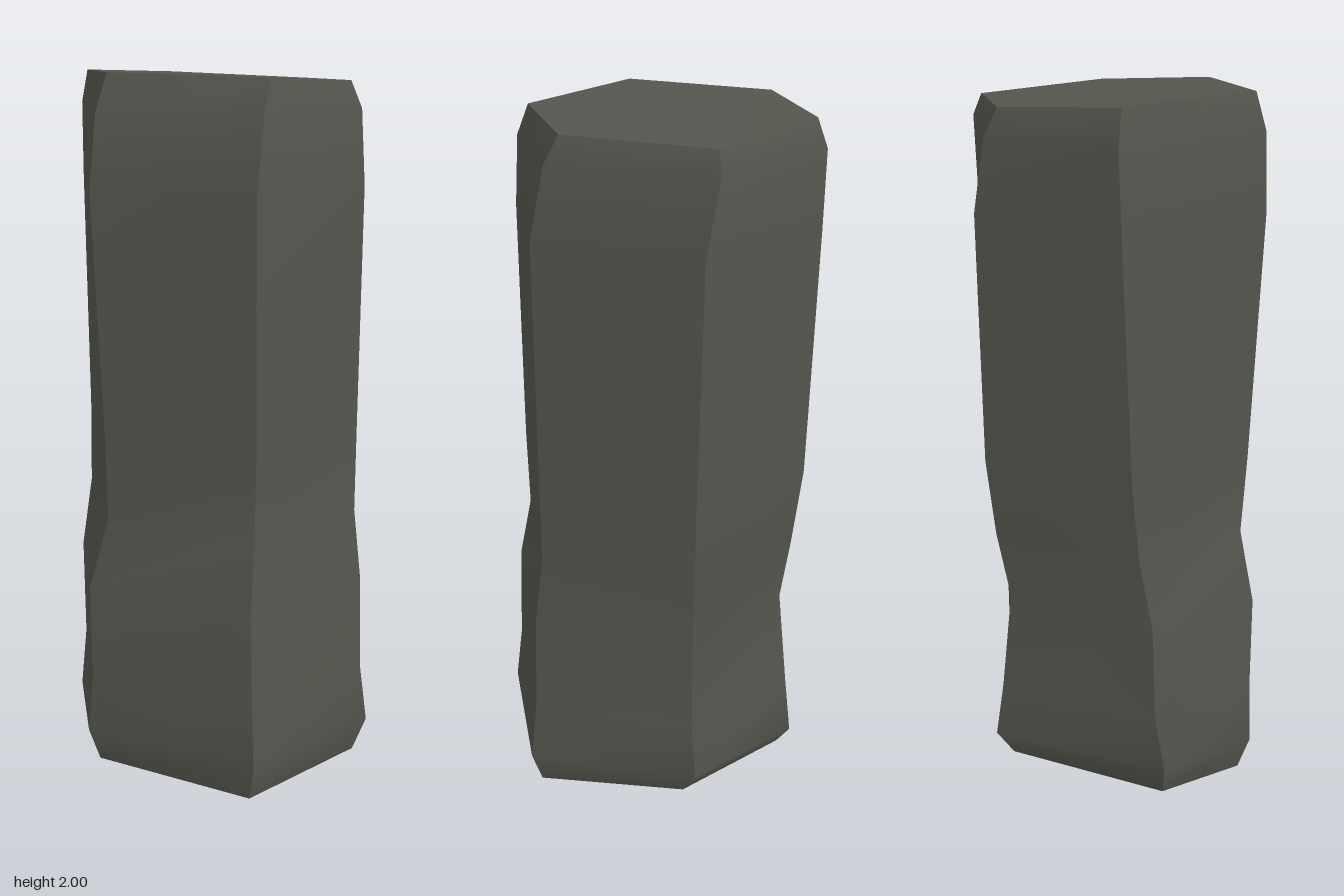
import * as THREE from 'three';
import { mergeGeometries } from 'three/addons/utils/BufferGeometryUtils.js';

// Heights of the rings between the two tilted caps, bottom to top
const ringY = [0.11, 0.28, 0.57, 0.77, 1.0, 1.7, 1.9];

// Six corner edges, anticlockwise from above: cap heights, then [x, z] from bottom cap to top cap
const corners = [
  { low: 0.04, high: 1.96, xz: [[0.375, -0.03], [0.41, -0.06], [0.40, -0.05], [0.40, -0.05], [0.415, -0.05], [0.43, -0.05], [0.453, -0.06], [0.43, -0.10], [0.40, -0.10]] },
  { low: 0.04, high: 1.975, xz: [[0.18, -0.36], [0.22, -0.39], [0.20, -0.375], [0.18, -0.35], [0.21, -0.37], [0.22, -0.395], [0.21, -0.415], [0.16, -0.432], [0.13, -0.41]] },
  { low: 0.005, high: 1.99, xz: [[-0.285, -0.27], [-0.312, -0.31], [-0.285, -0.32], [-0.28, -0.33], [-0.24, -0.335], [-0.225, -0.35], [-0.21, -0.38], [-0.205, -0.385], [-0.20, -0.36]] },
  { low: 0.003, high: 2.0, xz: [[-0.42, -0.04], [-0.457, -0.04], [-0.445, -0.03], [-0.445, -0.03], [-0.39, -0.01], [-0.40, 0], [-0.43, 0], [-0.415, 0.015], [-0.38, 0.02]] },
  { low: 0, high: 1.99, xz: [[-0.20, 0.40], [-0.21, 0.43], [-0.20, 0.41], [-0.20, 0.40], [-0.16, 0.365], [-0.16, 0.37], [-0.165, 0.37], [-0.135, 0.36], [-0.09, 0.33]] },
  { low: 0.005, high: 1.972, xz: [[0.215, 0.38], [0.24, 0.41], [0.228, 0.39], [0.225, 0.38], [0.218, 0.355], [0.218, 0.355], [0.22, 0.355], [0.24, 0.315], [0.235, 0.275]] },
];

// Each corner as a line of points from bottom to top
const edges = corners.map(({ low, high, xz }) => {
  const ys = [low, ...ringY, high];
  return xz.map(([x, z], i) => new THREE.Vector3(x, ys[i], z));
});

function makeGeometry(points, index) {
  const geometry = new THREE.BufferGeometry().setFromPoints(points);
  geometry.setIndex(index);
  geometry.computeVertexNormals();
  return geometry;
}

// One face of the column: smooth up its height, sharp at its two corners
function sideStrip(a, b) {
  const n = a.length;
  const index = [];
  for (let i = 0; i < n - 1; i++) {
    index.push(i, n + i, n + i + 1, i, n + i + 1, i + 1);
  }
  return makeGeometry([...a, ...b], index);
}

// Six-sided cap, fanned from its first corner
function cap(points, up) {
  const index = [];
  for (let i = 1; i < points.length - 1; i++) {
    index.push(0, up ? i : i + 1, up ? i + 1 : i);
  }
  return makeGeometry(points, index);
}

export function createModel() {
  const group = new THREE.Group();
  group.name = 'stoneColumn';
  const stone = new THREE.MeshStandardMaterial({ color: 0x55554e });
  stone.name = 'darkStone';

  const add = (name, geometry) => {
    const mesh = new THREE.Mesh(geometry, stone);
    mesh.name = name;
    group.add(mesh);
  };

  add('columnSides', mergeGeometries(edges.map((edge, i) => sideStrip(edge, edges[(i + 1) % edges.length]))));
  add('topCap', cap(edges.map((edge) => edge[edge.length - 1]), true));
  add('bottomCap', cap(edges.map((edge) => edge[0]), false));
  return group;
}
